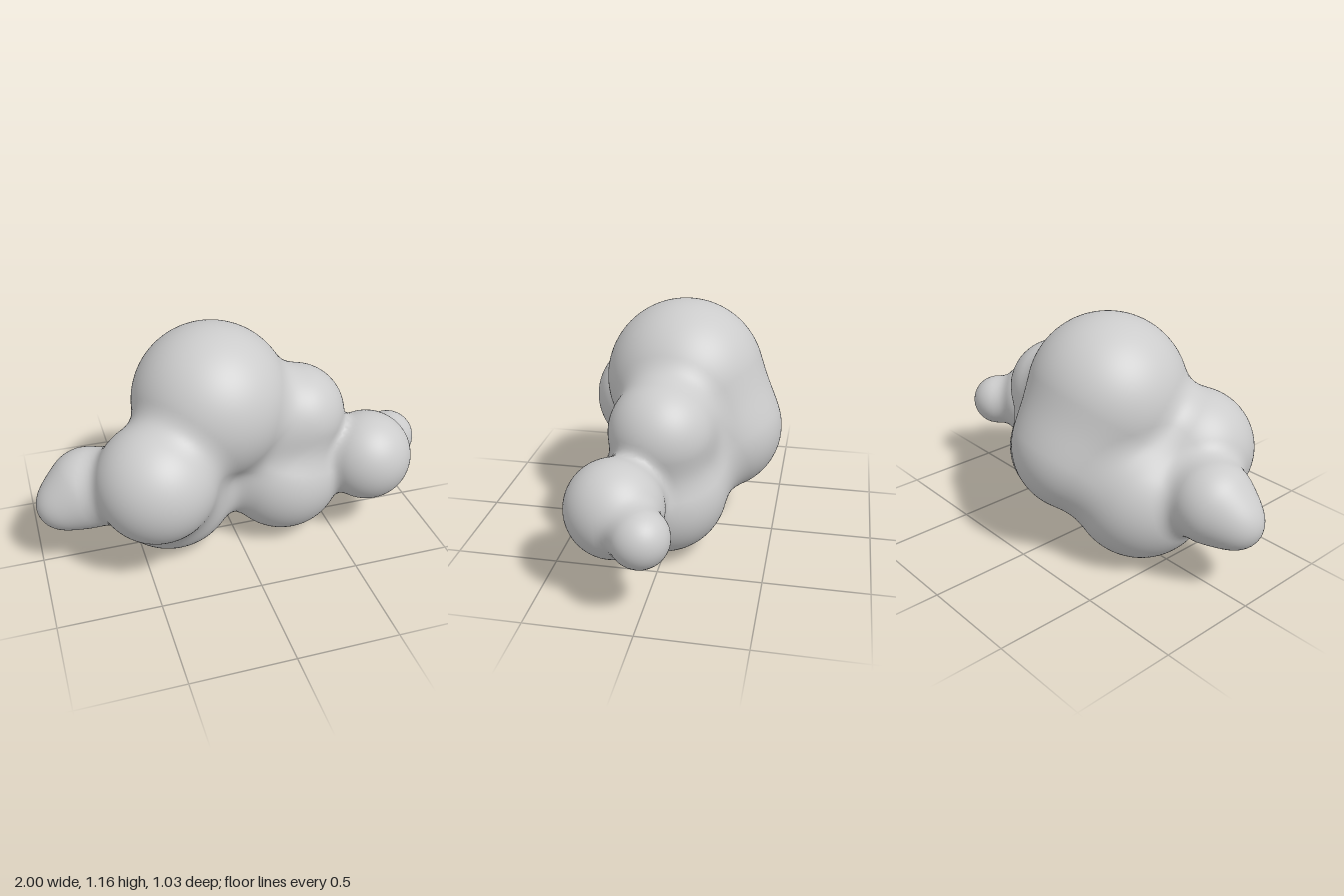
import * as THREE from 'three';

// Puffs of the cloud: centre x, y, z, radius, and width of the blend with the puffs before it
const PUFFS = [
  [-0.10, 0.78, -0.03, 0.39, 0.1],    // crown
  [-0.07, 0.54, -0.20, 0.32, 0.1],    // back
  [-0.44, 0.53, 0.22, 0.295, 0.1],    // front
  [-0.33, 0.345, -0.02, 0.34, 0.1],   // lower right
  [0.26, 0.335, 0.015, 0.31, 0.12],   // lower left
  [0.325, 0.66, 0.01, 0.25, 0.1],     // upper left
  [0.67, 0.43, 0.155, 0.228, 0.065],  // left end
  [0.865, 0.41, -0.003, 0.135, 0.06], // left tip
  [-0.74, 0.43, 0.03, 0.2, 0.08],     // right end
  [-0.885, 0.37, 0.05, 0.115, 0.09],  // right tip
];

// Signed distance to all puffs, rounded where they meet
function field(x, y, z) {
  let d = Infinity;
  for (const [cx, cy, cz, r, k] of PUFFS) {
    const s = Math.hypot(x - cx, y - cy, z - cz) - r;
    const h = Math.max(k - Math.abs(d - s), 0);
    d = Math.min(d, s) - (h * h) / (4 * k);
  }
  return d;
}

function gradient(p) {
  const e = 0.002;
  return new THREE.Vector3(
    field(p.x + e, p.y, p.z) - field(p.x - e, p.y, p.z),
    field(p.x, p.y + e, p.z) - field(p.x, p.y - e, p.z),
    field(p.x, p.y, p.z + e) - field(p.x, p.y, p.z - e),
  ).divideScalar(2 * e);
}

// Skin the field: one vertex per grid cell on the surface, one quad per crossed grid edge
function skin(min, max, step) {
  const n = min.map((m, i) => Math.ceil((max[i] - m) / step) + 1);
  const stride = [1, n[0], n[0] * n[1]];
  const values = new Float32Array(n[0] * n[1] * n[2]);
  const cellVertex = new Int32Array(values.length).fill(-1);
  const positions = [], normals = [], index = [];

  const eachNode = (visit) => {
    for (let k = 0; k < n[2]; k++)
      for (let j = 0; j < n[1]; j++)
        for (let i = 0; i < n[0]; i++) visit([i, j, k], i + j * stride[1] + k * stride[2]);
  };

  eachNode((c, id) => {
    values[id] = field(...c.map((v, a) => min[a] + v * step));
  });

  // Vertices: mean of the edge crossings, then pulled onto the surface
  eachNode((c, id) => {
    if (c.some((v, a) => v >= n[a] - 1)) return;
    const sum = [0, 0, 0];
    let hits = 0;
    for (let corner = 0; corner < 8; corner++) {
      const bits = [corner & 1, (corner >> 1) & 1, corner >> 2];
      const from = id + bits[0] + bits[1] * stride[1] + bits[2] * stride[2];
      for (let a = 0; a < 3; a++) {
        if (bits[a]) continue;
        const v0 = values[from], v1 = values[from + stride[a]];
        if (v0 < 0 === v1 < 0) continue;
        for (let b = 0; b < 3; b++) sum[b] += bits[b] + (b === a ? v0 / (v0 - v1) : 0);
        hits++;
      }
    }
    if (!hits) return;
    const p = new THREE.Vector3(...c.map((v, a) => min[a] + (v + sum[a] / hits) * step));
    for (let pass = 0; pass < 2; pass++) {
      const g = gradient(p);
      p.addScaledVector(g, -field(p.x, p.y, p.z) / Math.max(g.lengthSq(), 0.25));
    }
    cellVertex[id] = positions.length / 3;
    positions.push(p.x, p.y, p.z);
    normals.push(...gradient(p).normalize().toArray());
  });

  // Faces: join the four cells around each crossed edge
  eachNode((c, id) => {
    for (let a = 0; a < 3; a++) {
      const b = (a + 1) % 3, d = (a + 2) % 3;
      if (c[a] >= n[a] - 1 || c[b] < 1 || c[d] < 1) continue;
      const inside = values[id] < 0;
      if (inside === values[id + stride[a]] < 0) continue;
      const q = [id - stride[b] - stride[d], id - stride[d], id, id - stride[b]].map((v) => cellVertex[v]);
      if (!inside) q.reverse();
      index.push(q[0], q[1], q[2], q[0], q[2], q[3]);
    }
  });

  const geometry = new THREE.BufferGeometry();
  geometry.setAttribute('position', new THREE.Float32BufferAttribute(positions, 3));
  geometry.setAttribute('normal', new THREE.Float32BufferAttribute(normals, 3));
  geometry.setIndex(index);
  return geometry;
}

export function createModel() {
  const group = new THREE.Group();
  group.name = 'cloud';
  const material = new THREE.MeshStandardMaterial({ color: 0xcccccc });
  const body = new THREE.Mesh(skin([-1.06, -0.06, -0.58], [1.06, 1.24, 0.58], 0.02), material);
  body.name = 'cloudBody';
  group.add(body);
  return group;
}
